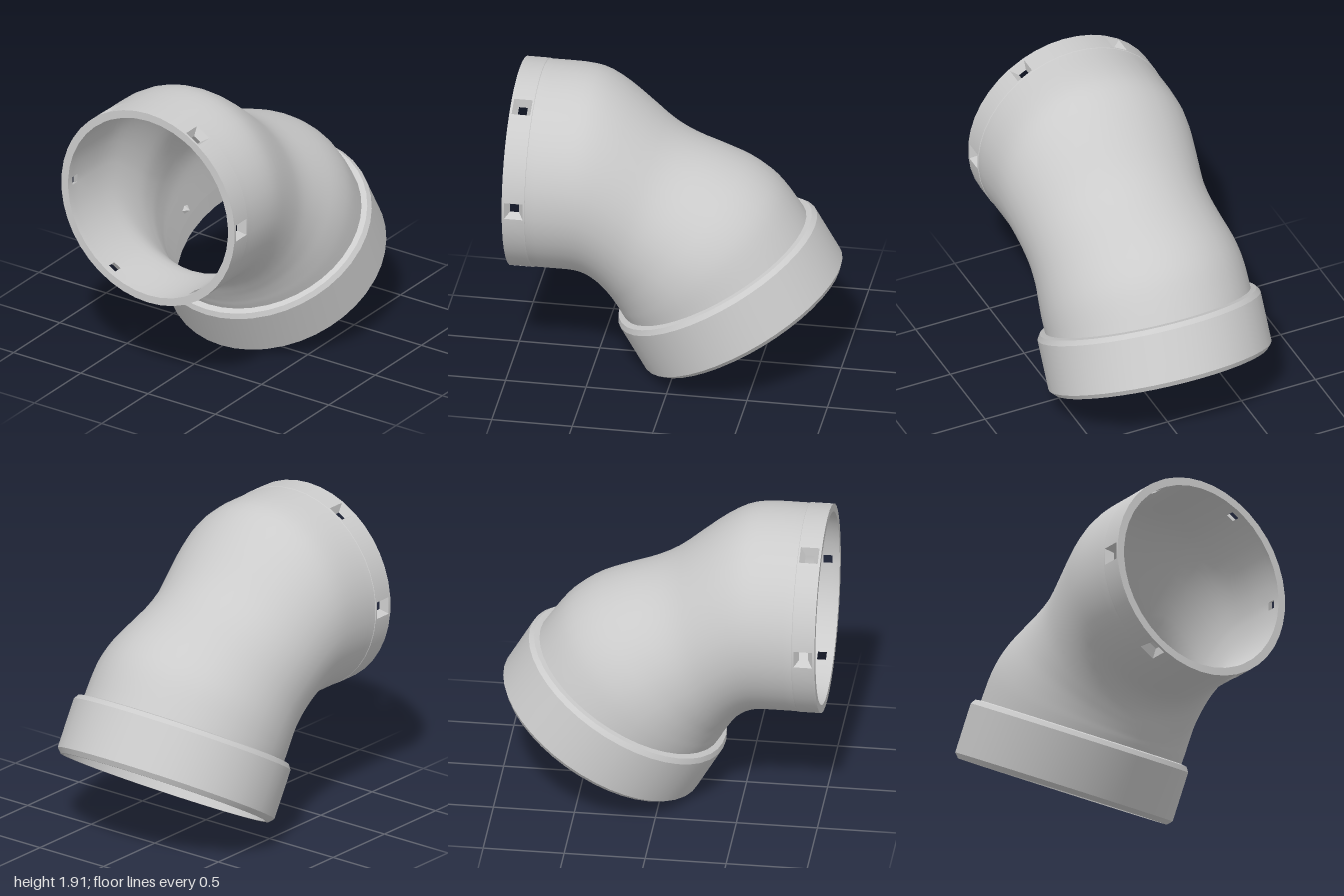
import * as THREE from 'three';
import { toCreasedNormals } from 'three/addons/utils/BufferGeometryUtils.js';

const WALL = 0.05;
const SECTORS = 6;

// A ring is an ellipse: centre c, vector a towards its top, half width w along x.
const ring = (c, a, w, half) => ({ c, a, w, half });
const OUT = 0.085, IN = 0.045; // half angle of the screw holes, outside and inside

// Ring of the straight front end
const frontRing = (z, r, half) =>
  ring(new THREE.Vector3(0, 1.265, z), new THREE.Vector3(0, r, 0), r, half);

// Ring of the tilted socket at distance s along its axis
const AXIS = new THREE.Vector3(0, 0.866, 0.5);
const BACK = new THREE.Vector3(0, 0.5, -0.866);
const MOUTH = new THREE.Vector3(0, 0.333, -0.405);
const socketRing = (s, r, half) =>
  ring(MOUTH.clone().addScaledVector(AXIS, s), BACK.clone().multiplyScalar(r), r, half);

// Bend: top z, top y, bottom z, bottom y, half width
const BEND = [
  [0.8, 1.907, 0.8, 0.623, 0.642], [0.62, 1.905, 0.62, 0.622, 0.642],
  [0.49, 1.88, 0.54, 0.6, 0.635], [0.35, 1.8, 0.485, 0.56, 0.62],
  [0.2, 1.68, 0.455, 0.525, 0.605], [0.05, 1.555, 0.435, 0.495, 0.595],
  [-0.1, 1.47, 0.42, 0.47, 0.598], [-0.28, 1.4, 0.405, 0.445, 0.61],
  [-0.45, 1.325, 0.39, 0.42, 0.628], [-0.58, 1.235, 0.375, 0.395, 0.64],
  [-0.67, 1.135, 0.362, 0.37, 0.645], [-0.773, 0.985, 0.344, 0.34, 0.645],
];

function bendRings(inset, half) {
  const top = new THREE.CatmullRomCurve3(
    BEND.map(([z, y, , , w]) => new THREE.Vector3(w, y, z)), false, 'catmullrom');
  const low = new THREE.CatmullRomCurve3(
    BEND.map(([, , z, y]) => new THREE.Vector3(0, y, z)), false, 'catmullrom');
  const rings = [];
  for (let i = 0; i <= 26; i++) {
    const t = top.getPoint(i / 26), b = low.getPoint(i / 26), w = t.x;
    t.x = 0;
    const c = t.clone().add(b).multiplyScalar(0.5);
    const a = t.sub(c);
    a.setLength(a.length() - inset);
    rings.push(ring(c, a, w - inset, half));
  }
  return rings;
}

// Angles round a ring: each sector starts with one hole-wide column
function ringAngles(half) {
  const angles = [], step = Math.PI * 2 / SECTORS, n = 6;
  for (let k = 0; k < SECTORS; k++) {
    const c = step * (k + 0.5);
    angles.push(c - half);
    for (let i = 0; i < n; i++) angles.push(c + half + (step - 2 * half) * i / n);
  }
  return angles;
}

// Closed wall through all rings, with tapered holes joining two of its rows
function buildWall(rings, outerRow, innerRow) {
  const pos = [], index = [];
  const cols = ringAngles(OUT).length, perSector = cols / SECTORS;
  for (const r of rings) {
    for (const t of ringAngles(r.half)) {
      const p = r.c.clone().addScaledVector(r.a, Math.cos(t));
      pos.push(p.x + Math.sin(t) * r.w, p.y, p.z);
    }
  }
  const id = (i, j) => (i % rings.length) * cols + (j % cols);
  const quad = (a, b, c, d) => index.push(a, b, c, a, c, d);
  for (let i = 0; i < rings.length; i++) {
    for (let j = 0; j < cols; j++) {
      const hole = j % perSector === 0 && (i === outerRow || i === innerRow);
      if (!hole) quad(id(i, j), id(i, j + 1), id(i + 1, j + 1), id(i + 1, j));
    }
  }
  for (let j = 0; j < cols; j += perSector) {
    const o = [id(outerRow, j), id(outerRow, j + 1), id(outerRow + 1, j + 1), id(outerRow + 1, j)];
    const n = [id(innerRow + 1, j), id(innerRow + 1, j + 1), id(innerRow, j + 1), id(innerRow, j)];
    for (let k = 0; k < 4; k++) quad(o[k], o[(k + 1) % 4], n[(k + 1) % 4], n[k]);
  }
  const geo = new THREE.BufferGeometry();
  geo.setAttribute('position', new THREE.Float32BufferAttribute(pos, 3));
  geo.setIndex(index);
  return toCreasedNormals(geo, 0.5);
}

export function createModel() {
  const group = new THREE.Group();
  group.name = 'pipeElbow';
  const material = new THREE.MeshStandardMaterial({ color: 0xcccccc });

  // Outside skin from the front lip back to the socket mouth
  const outer = [
    frontRing(1, 0.645, OUT), frontRing(0.985, 0.645, OUT),
    frontRing(0.87, 0.645, OUT), frontRing(0.86, 0.645, OUT), frontRing(0.857, 0.642, OUT),
    ...bendRings(0, OUT),
    socketRing(0.375, 0.68, OUT), socketRing(0.345, 0.7, OUT),
    socketRing(0.03, 0.7, OUT), socketRing(0, 0.672, OUT),
  ];
  // Inside skin from the socket bore, over its ledge, to the front lip
  const inner = [
    socketRing(0, 0.65, IN), socketRing(0.2, 0.645, IN), socketRing(0.2, 0.595, IN),
    ...bendRings(WALL, IN).reverse(),
    frontRing(0.9, 0.595, IN), frontRing(0.955, 0.595, IN), frontRing(1, 0.595, IN),
  ];
  const rings = [...outer, ...inner];
  const wall = new THREE.Mesh(buildWall(rings, 1, rings.length - 3), material);
  wall.name = 'elbowWall';
  group.add(wall);

  // Small locking nubs inside the socket, spaced like the holes
  const nubs = new THREE.Group();
  nubs.name = 'lockingNubs';
  const nubGeo = new THREE.ConeGeometry(0.035, 0.04, 5).toNonIndexed();
  nubGeo.computeVertexNormals();
  for (let k = 0; k < SECTORS; k++) {
    const t = Math.PI * 2 / SECTORS * (k + 0.5);
    const dir = BACK.clone().multiplyScalar(Math.cos(t));
    dir.x = Math.sin(t);
    const nub = new THREE.Mesh(nubGeo, material);
    nub.name = 'lockingNub';
    nub.position.copy(MOUTH).addScaledVector(AXIS, 0.28).addScaledVector(dir, 0.58);
    nub.quaternion.setFromUnitVectors(new THREE.Vector3(0, 1, 0), dir.negate().normalize());
    nubs.add(nub);
  }
  group.add(nubs);
  return group;
}
